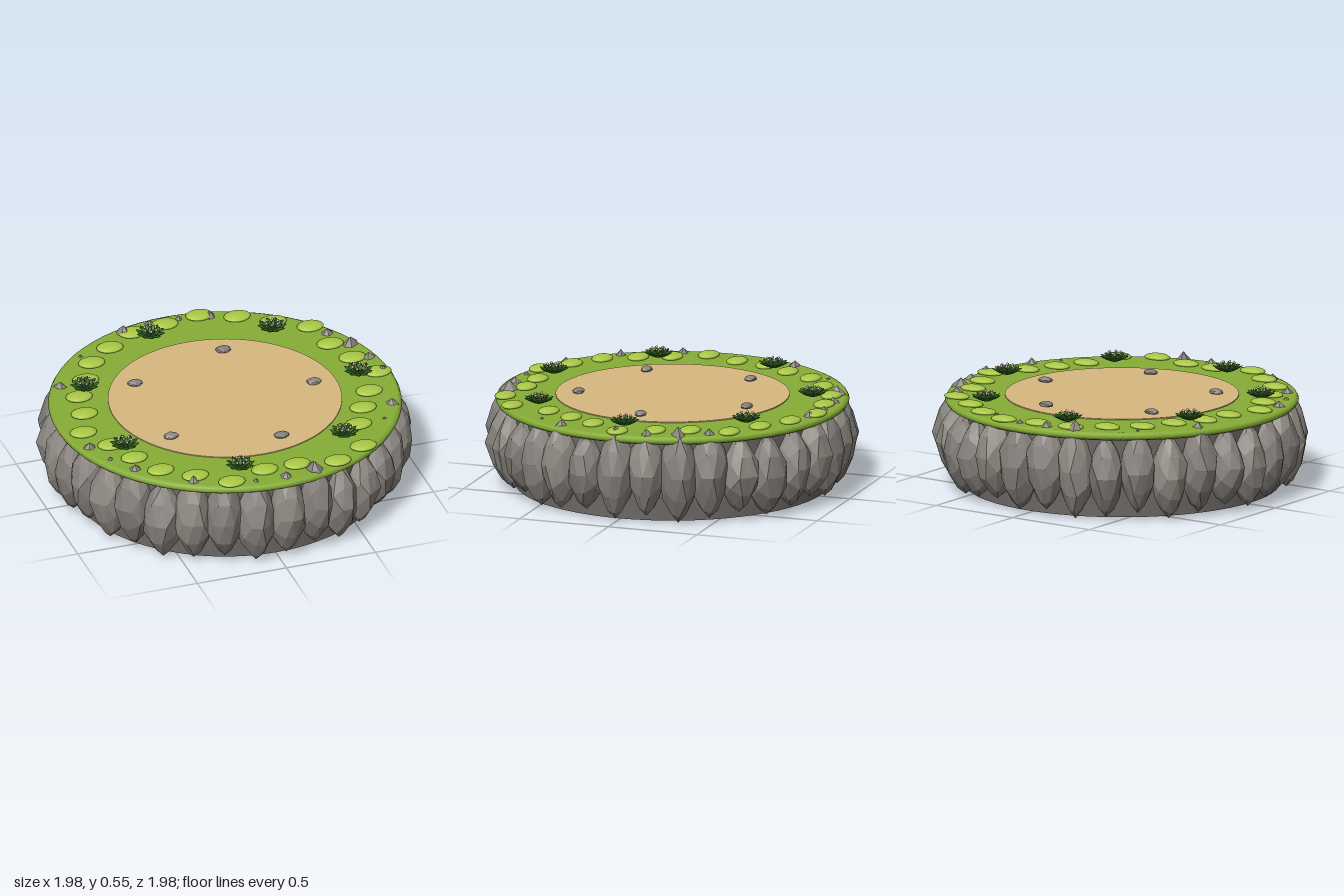
import * as THREE from 'three';

const mat = (color, flatShading = false) => new THREE.MeshStandardMaterial({ color, flatShading });

// Repeatable pseudo-random values
function seeded(seed) {
  let s = seed * 7919 + 17;
  return () => {
    s = (s * 16807) % 2147483647;
    return s / 2147483647;
  };
}

function add(parent, name, geometry, material, x = 0, y = 0, z = 0) {
  const mesh = new THREE.Mesh(geometry, material);
  mesh.name = name;
  mesh.position.set(x, y, z);
  parent.add(mesh);
  return mesh;
}

function namedGroup(parent, name) {
  const g = new THREE.Group();
  g.name = name;
  parent.add(g);
  return g;
}

// Faceted stone: shared corners get the same random push, ends taper
function stoneGeometry(seed, rough, taper) {
  const geo = new THREE.IcosahedronGeometry(1, 1);
  const rnd = seeded(seed);
  for (let k = 0; k < 5; k++) rnd();
  const pushes = new Map();
  const p = geo.attributes.position;
  const v = new THREE.Vector3();
  for (let i = 0; i < p.count; i++) {
    v.fromBufferAttribute(p, i);
    const key = [v.x, v.y, v.z].map((n) => Math.round(n * 100)).join();
    if (!pushes.has(key)) pushes.set(key, 1 + (rnd() - 0.5) * rough);
    const y = v.y;
    const side = pushes.get(key) * (1 - taper * y * y);
    p.setXYZ(i, v.x * side, y, v.z * side);
  }
  geo.computeVertexNormals();
  return geo;
}

export function createModel() {
  const model = new THREE.Group();
  model.name = 'rockyPlatform';

  const rockMats = [0x8a8580, 0x847f7a, 0x8f8982].map((c) => mat(c, true));
  const grassMat = mat(0x86ad35);
  const mossMat = mat(0xa9c846);
  const leafMats = [mat(0x2f6420), mat(0x4f8a2c)];
  const budMat = mat(0xd9b3b8);

  // Solid base under the turf
  add(model, 'base', new THREE.CylinderGeometry(0.88, 0.84, 0.45, 64), mat(0x6f6c68), 0, 0.245, 0);

  // Turf slab with a rounded rim
  const rim = [[0, 0.455], [0.915, 0.455], [0.932, 0.463], [0.94, 0.478], [0.932, 0.492], [0.915, 0.5], [0, 0.5]];
  const grassGeo = new THREE.LatheGeometry(rim.map(([x, y]) => new THREE.Vector2(x, y)), 72);
  add(model, 'grass', grassGeo, grassMat);

  // Sandy clearing
  add(model, 'sand', new THREE.CylinderGeometry(0.622, 0.622, 0.02, 72), mat(0xd9b880), 0, 0.495, 0);

  // Ring of upright boulders, some poking through the turf
  const tops = [
    0.54, 0.48, 0.53, 0.51, 0.47, 0.48, 0.48, 0.55, 0.53, 0.515, 0.52,
    0.53, 0.48, 0.53, 0.515, 0.53, 0.48, 0.47, 0.48, 0.53, 0.48, 0.51,
    0.48, 0.55, 0.53, 0.52, 0.53, 0.48, 0.47, 0.48, 0.53, 0.545, 0.53,
  ];
  const boulders = namedGroup(model, 'boulders');
  tops.forEach((top, i) => {
    const a = (i / tops.length) * Math.PI * 2;
    const rnd = seeded(i + 101);
    rnd();
    rnd();
    const bottom = 0.012 + rnd() * 0.055;
    const r = 0.872 + rnd() * 0.016;
    const m = add(boulders, 'boulder', stoneGeometry(i + 3, 0.22, 0.42), rockMats[i % 3],
      Math.cos(a) * r, (top + bottom) / 2, Math.sin(a) * r);
    m.scale.set(0.11 + rnd() * 0.012, (top - bottom) / 2, 0.097 + rnd() * 0.012);
    m.rotation.y = -a + (rnd() - 0.5) * 0.35;
  });

  // Moss cushions spaced evenly by angle at varied distances
  const mossRadii = [
    0.86, 0.77, 0.74, 0.76, 0.89, 0.89, 0.79, 0.78, 0.88, 0.83, 0.83, 0.79, 0.78, 0.835,
    0.765, 0.775, 0.765, 0.8, 0.81, 0.845, 0.84, 0.88, 0.86, 0.845, 0.88, 0.8, 0.8,
  ];
  const mossGeo = new THREE.SphereGeometry(1, 20, 12);
  const moss = namedGroup(model, 'mossCushions');
  mossRadii.forEach((r, i) => {
    const a = (i / mossRadii.length) * Math.PI * 2;
    const m = add(moss, 'mossCushion', mossGeo, mossMat, Math.cos(a) * r, 0.506, Math.sin(a) * r);
    m.scale.set(0.074, 0.019, 0.055);
  });

  // Leafy rosettes: rings of [count, length, tilt, width, material]
  const leafGeo = new THREE.SphereGeometry(1, 8, 6).translate(1, 0, 0);
  const budGeo = new THREE.SphereGeometry(0.0075, 8, 6);
  const rings = [
    [10, 0.087, 0.42, 0.016, 0],
    [8, 0.073, 0.7, 0.014, 1],
    [5, 0.058, 1.0, 0.011, 0],
  ];
  const plants = namedGroup(model, 'plants');
  for (let i = 0; i < 7; i++) {
    const a = (i / 7) * Math.PI * 2;
    const plant = namedGroup(plants, 'plant');
    plant.position.set(Math.cos(a) * 0.75, 0.508, Math.sin(a) * 0.75);
    plant.rotation.y = i * 0.9;
    rings.forEach(([count, length, tilt, width, m], ring) => {
      for (let k = 0; k < count; k++) {
        const leaf = add(plant, 'leaf', leafGeo, leafMats[m]);
        leaf.scale.set(length / 2, 0.006, width);
        leaf.rotation.set(0, (k / count) * Math.PI * 2 + ring * 0.3, tilt, 'YXZ');
      }
    });
    for (let k = 0; k < 6; k++) {
      const b = (k / 6) * Math.PI * 2;
      add(plant, 'bud', budGeo, budMat, Math.cos(b) * 0.034, 0.05, Math.sin(b) * 0.034);
    }
  }

  // Pebbles on the sand
  const pebbles = namedGroup(model, 'pebbles');
  for (let i = 0; i < 5; i++) {
    const a = (i / 5) * Math.PI * 2;
    const m = add(pebbles, 'pebble', stoneGeometry(i + 60, 0.2, 0.1), rockMats[i % 3],
      Math.cos(a) * 0.5, 0.512, Math.sin(a) * 0.5);
    m.scale.set(0.041, 0.018, 0.031);
  }

  return model;
}
